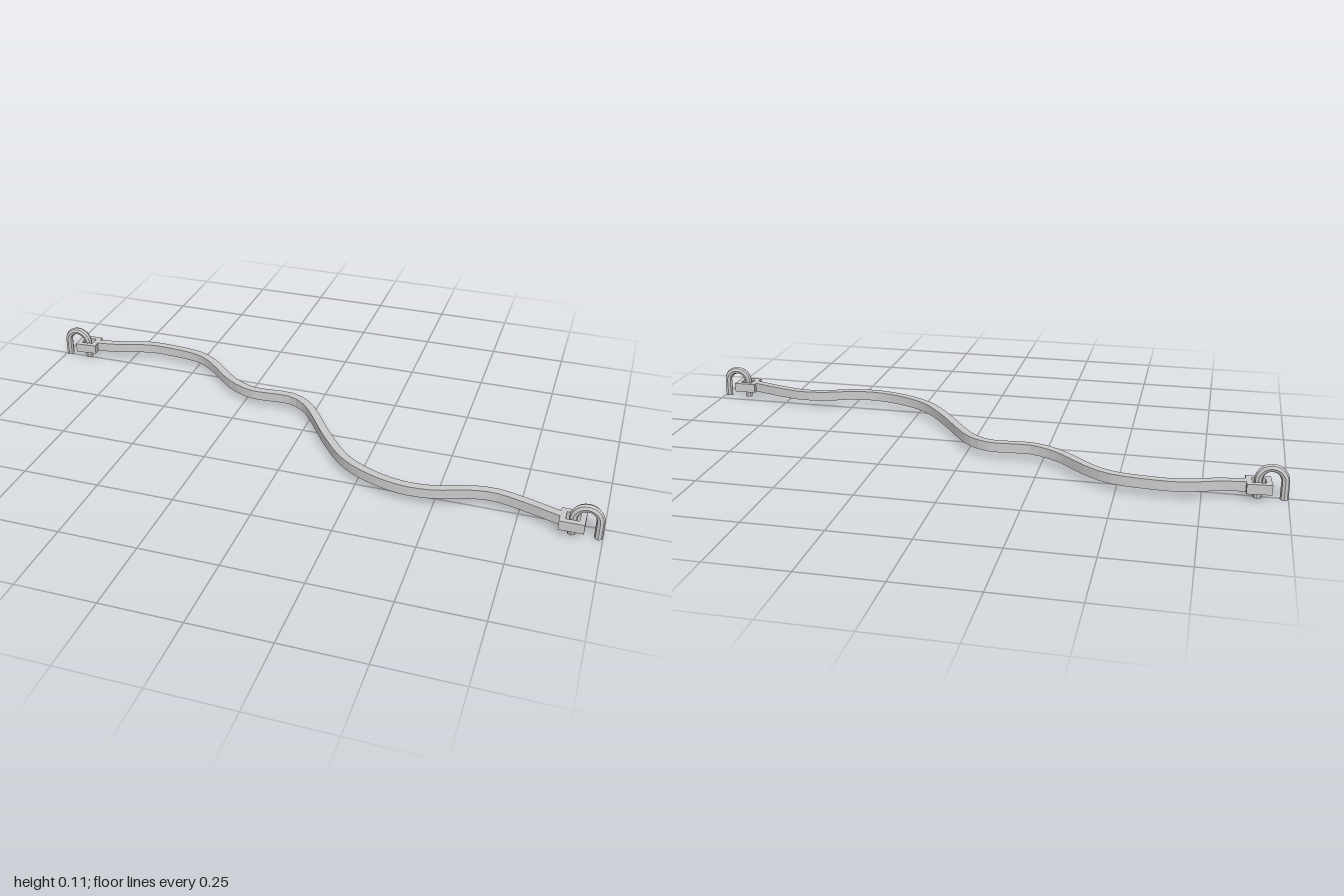
import * as THREE from 'three';

const material = new THREE.MeshStandardMaterial({ color: 0xcccccc, flatShading: true });
const TOP = 0.057, THICK = 0.031, HALF_WIDTH = 0.013;

// Upright slab from a plan outline given in (x, z)
function slab(shape, name) {
  const geo = new THREE.ExtrudeGeometry(shape, { depth: THICK, bevelEnabled: false });
  geo.rotateX(Math.PI / 2);
  const mesh = new THREE.Mesh(geo, material);
  mesh.name = name;
  mesh.position.y = TOP;
  return mesh;
}

function rectangle(Type, hx, hz) {
  const path = new Type();
  path.moveTo(-hx, -hz).lineTo(hx, -hz).lineTo(hx, hz).lineTo(-hx, hz).closePath();
  return path;
}

// Square eyelet at the end of the strand
function eyelet(name, x, z, turn) {
  const shape = rectangle(THREE.Shape, 0.037, 0.035);
  shape.holes.push(rectangle(THREE.Path, 0.02, 0.018));
  const mesh = slab(shape, name);
  mesh.position.x = x;
  mesh.position.z = z;
  mesh.rotation.y = turn;
  return mesh;
}

// Round staple: two legs joined by a half-circle arch
function staple(name, side, z) {
  const r = 0.0385, tube = 0.0125, legHeight = 0.057;
  const group = new THREE.Group();
  group.name = name;
  const arch = new THREE.Mesh(new THREE.TorusGeometry(r, tube, 8, 12, Math.PI), material);
  arch.name = 'stapleArch';
  arch.position.y = legHeight;
  group.add(arch);
  for (const s of [-1, 1]) {
    const geo = new THREE.CylinderGeometry(tube, tube, legHeight, 8);
    geo.rotateY(Math.PI / 2);
    const leg = new THREE.Mesh(geo, material);
    leg.name = 'stapleLeg';
    leg.position.set(s * r, legHeight / 2, 0);
    group.add(leg);
  }
  group.position.set(side * 0.949, 0, z);
  return group;
}

// Winding strand: centre line in plan, offset to both sides
function strand() {
  const line = [
    [-0.885, -0.268], [-0.795, -0.283], [-0.71, -0.31], [-0.635, -0.316], [-0.5, -0.301],
    [-0.42, -0.258], [-0.315, -0.163], [-0.235, -0.12], [-0.18, -0.115], [-0.085, -0.119],
    [-0.02, -0.086], [0.03, -0.028], [0.11, 0.088], [0.2, 0.194], [0.3, 0.253],
    [0.405, 0.281], [0.5, 0.275], [0.58, 0.247], [0.667, 0.233], [0.75, 0.249], [0.88, 0.291],
  ].map(([x, z]) => new THREE.Vector2(x, z));
  const curve = new THREE.SplineCurve(line);
  const left = [], right = [];
  const steps = 60;
  for (let i = 0; i <= steps; i++) {
    const p = curve.getPointAt(i / steps);
    const t = curve.getTangentAt(i / steps);
    const n = new THREE.Vector2(-t.y, t.x).multiplyScalar(HALF_WIDTH);
    left.push(p.clone().add(n));
    right.unshift(p.clone().sub(n));
  }
  return slab(new THREE.Shape([...left, ...right]), 'windingStrand');
}

export function createModel() {
  const model = new THREE.Group();
  model.name = 'strandWithStaples';
  model.add(
    strand(),
    eyelet('leftEyelet', 0.91, 0.293, 0),
    eyelet('rightEyelet', -0.912, -0.264, 0.08),
    staple('leftStaple', 1, 0.295),
    staple('rightStaple', -1, -0.255),
  );
  return model;
}
